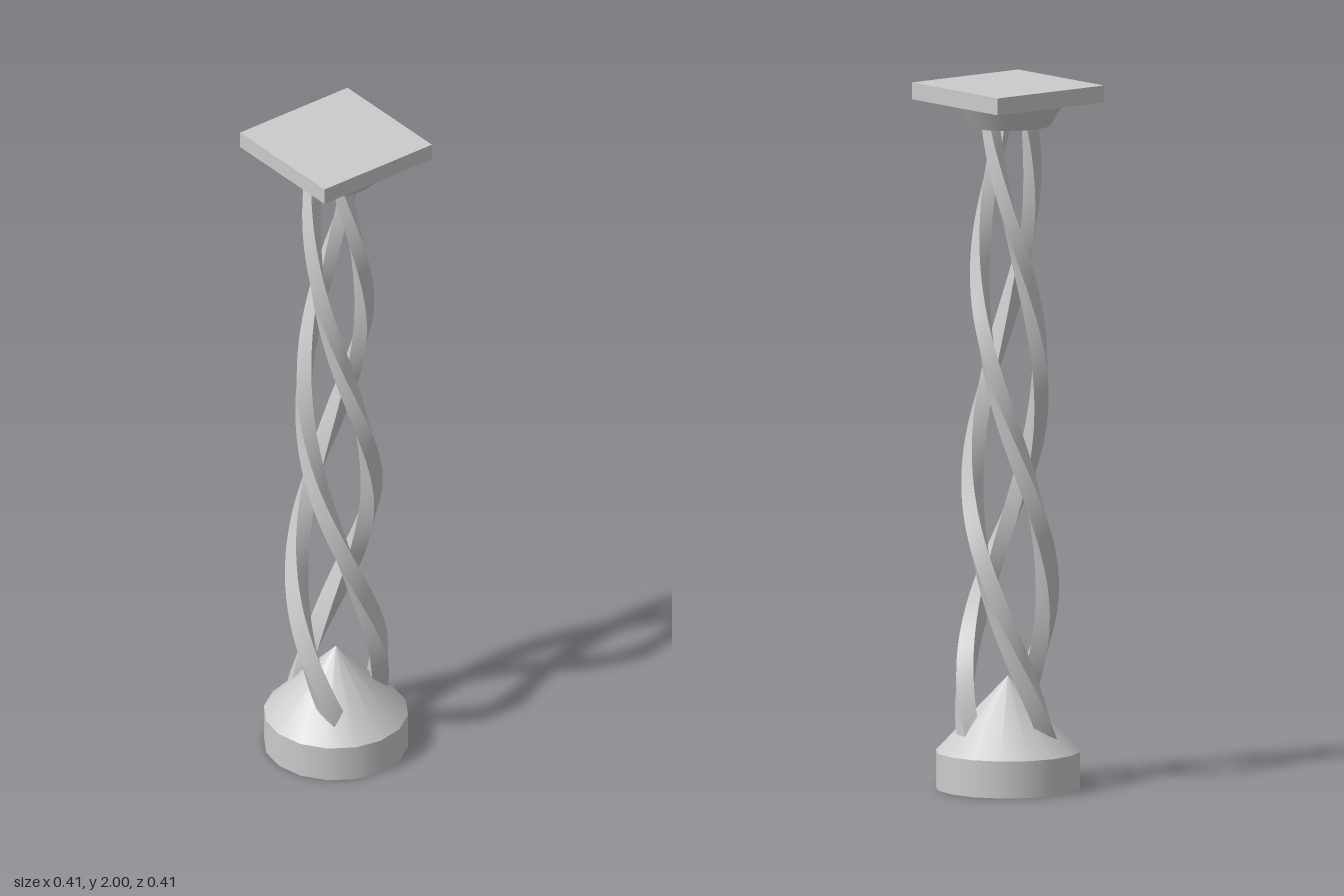
import * as THREE from 'three';
import { toCreasedNormals } from 'three/addons/utils/BufferGeometryUtils.js';

const SIDES = 16;
const solid = new THREE.MeshStandardMaterial({ color: 0xcccccc });
const thin = new THREE.MeshStandardMaterial({ color: 0xcccccc, side: THREE.DoubleSide });

function add(group, name, geometry, material, y) {
  const mesh = new THREE.Mesh(geometry, material);
  mesh.name = name;
  mesh.position.y = y;
  group.add(mesh);
}

// Square bar winding up a tapering helix; roll turns its section about the path
function strandGeometry(phase, roll) {
  const y0 = 0.15, y1 = 1.89, steps = 64, turn = (2 * Math.PI) / 1.8;
  const positions = [], index = [];
  for (let i = 0; i <= steps; i++) {
    const t = i / steps;
    const y = y0 + (y1 - y0) * t;
    const a = turn * (y - 0.1) + phase;
    const r = 0.117 - 0.035 * (y - 0.4);
    const half = 0.025 - 0.007 * t;
    const radial = new THREE.Vector3(Math.cos(a), 0, Math.sin(a));
    const tangent = new THREE.Vector3(-Math.sin(a) * r * turn, 1, Math.cos(a) * r * turn).normalize();
    const across = new THREE.Vector3().crossVectors(tangent, radial);
    for (let k = 0; k < 4; k++) {
      const c = roll + Math.PI / 4 + (k * Math.PI) / 2;
      const p = new THREE.Vector3(0, y, 0)
        .addScaledVector(radial, r + half * Math.SQRT2 * Math.cos(c))
        .addScaledVector(across, half * Math.SQRT2 * Math.sin(c));
      positions.push(p.x, p.y, p.z);
    }
  }
  for (let i = 0; i < steps; i++) {
    for (let k = 0; k < 4; k++) {
      const a = i * 4 + k, b = i * 4 + ((k + 1) % 4);
      index.push(a, b, b + 4, a, b + 4, a + 4);
    }
  }
  // End caps
  const e = steps * 4;
  index.push(0, 2, 1, 0, 3, 2, e, e + 1, e + 2, e, e + 2, e + 3);
  const g = new THREE.BufferGeometry();
  g.setAttribute('position', new THREE.Float32BufferAttribute(positions, 3));
  g.setIndex(index);
  return toCreasedNormals(g, Math.PI / 5);
}

export function createModel() {
  const model = new THREE.Group();
  model.name = 'twistedColumn';

  // Hollow base: open ring with a conical roof
  add(model, 'baseRing', new THREE.CylinderGeometry(0.204, 0.204, 0.105, SIDES, 1, true), thin, 0.0525);
  add(model, 'baseCone', new THREE.ConeGeometry(0.204, 0.215, SIDES, 1, true), thin, 0.2125);

  // Three intertwined strands
  for (let i = 0; i < 3; i++) {
    const roll = i === 0 ? 0 : Math.PI / 4;
    add(model, 'strand' + (i + 1), strandGeometry((i * 2 * Math.PI) / 3, roll), solid, 0);
  }

  // Flared capital under a square slab
  add(model, 'capital', new THREE.CylinderGeometry(0.16, 0.12, 0.068, SIDES), solid, 1.918);
  add(model, 'topSlab', new THREE.BoxGeometry(0.384, 0.048, 0.384), solid, 1.976);
  return model;
}
